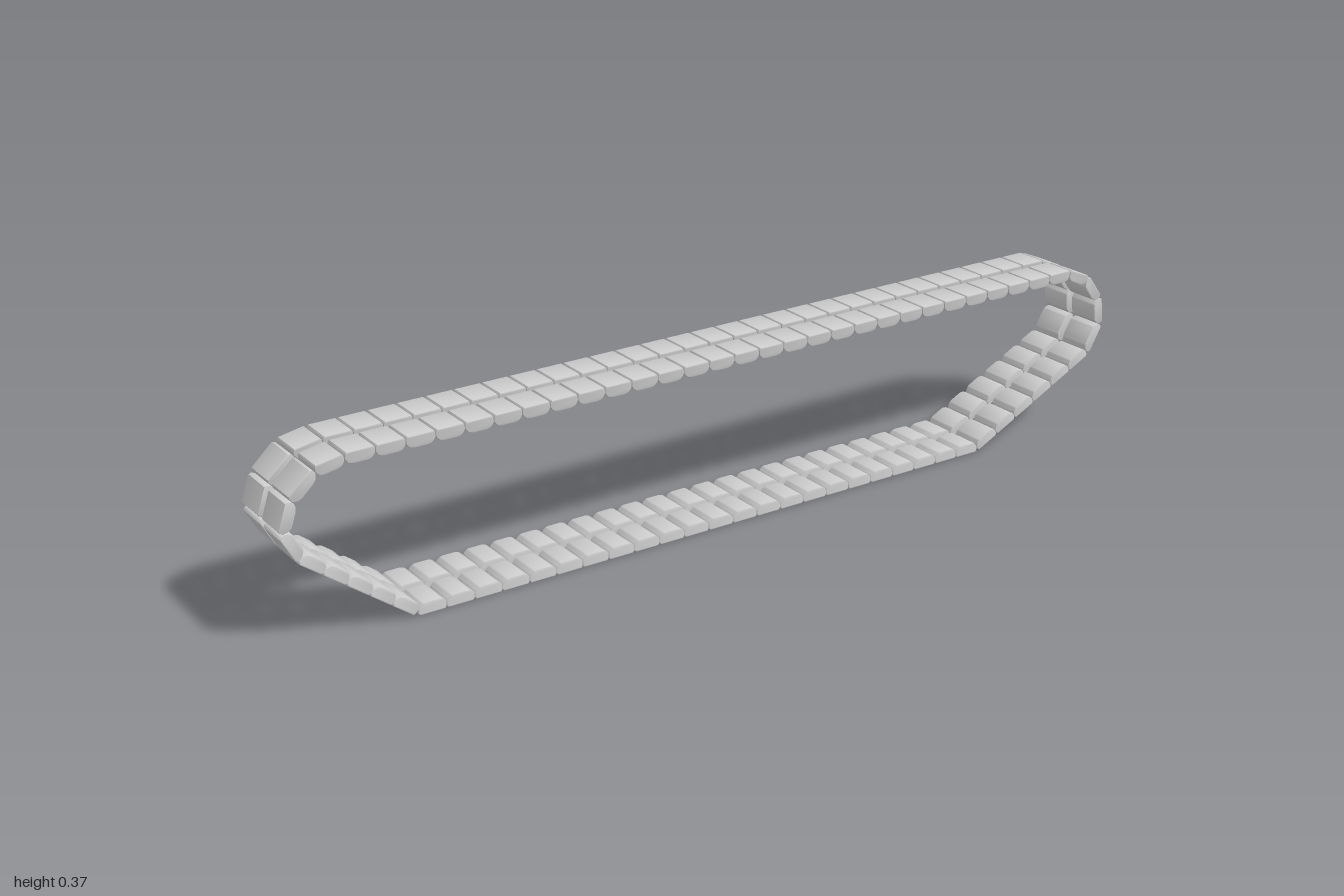
import * as THREE from 'three';
import { toCreasedNormals } from 'three/addons/utils/BufferGeometryUtils.js';

// Loop of the belt, counter-clockwise: x, y of a corner, links up to the next corner
const PATH = [
  [-0.735, 0.014, 23], [0.635, 0.014, 6], [0.95, 0.171, 1], [0.983, 0.229, 1],
  [0.976, 0.288, 1], [0.938, 0.338, 1], [0.885, 0.36, 29], [-0.86, 0.348, 1],
  [-0.917, 0.337, 1], [-0.965, 0.292, 1], [-0.984, 0.235, 1], [-0.955, 0.181, 5],
];
const PITCH = 0.06;
const BEVEL = 0.003;
const PAD_WIDTH = 0.073;

// Pad: flat tread outside (-y), softly domed inside (+y)
function padGeometry() {
  const h = PITCH / 2 - BEVEL;
  const s = new THREE.Shape();
  s.moveTo(-h + 0.002, -0.010);
  s.lineTo(h - 0.002, -0.010);
  s.lineTo(h, -0.007);
  s.lineTo(h, -0.001);
  s.quadraticCurveTo(h - 0.004, 0.008, h - 0.014, 0.009);
  s.lineTo(-h + 0.014, 0.009);
  s.quadraticCurveTo(-h + 0.004, 0.008, -h, -0.001);
  s.lineTo(-h, -0.007);
  s.closePath();
  const g = new THREE.ExtrudeGeometry(s, {
    depth: PAD_WIDTH - 2 * BEVEL, bevelThickness: BEVEL, bevelSize: BEVEL,
    bevelSegments: 2, curveSegments: 5,
  });
  g.translate(0, 0, -PAD_WIDTH / 2 + BEVEL);
  return toCreasedNormals(g, 0.7);
}

export function createModel() {
  const model = new THREE.Group();
  model.name = 'trackBelt';
  const material = new THREE.MeshStandardMaterial({ color: 0xcccccc });
  const pad = padGeometry();

  PATH.forEach(([x0, y0, count], i) => {
    const [x1, y1] = PATH[(i + 1) % PATH.length];
    const length = Math.hypot(x1 - x0, y1 - y0) / count;
    for (let k = 0; k < count; k++) {
      // One link: a pair of pads side by side
      const link = new THREE.Group();
      link.name = 'trackLink';
      const t = (k + 0.5) / count;
      link.position.set(x0 + (x1 - x0) * t, y0 + (y1 - y0) * t, 0);
      link.rotation.z = Math.atan2(y1 - y0, x1 - x0);
      for (const side of [1, -1]) {
        const mesh = new THREE.Mesh(pad, material);
        mesh.name = side > 0 ? 'frontPad' : 'backPad';
        mesh.position.z = side * 0.0445;
        mesh.scale.x = length / PITCH;
        link.add(mesh);
      }
      model.add(link);
    }
  });
  return model;
}
